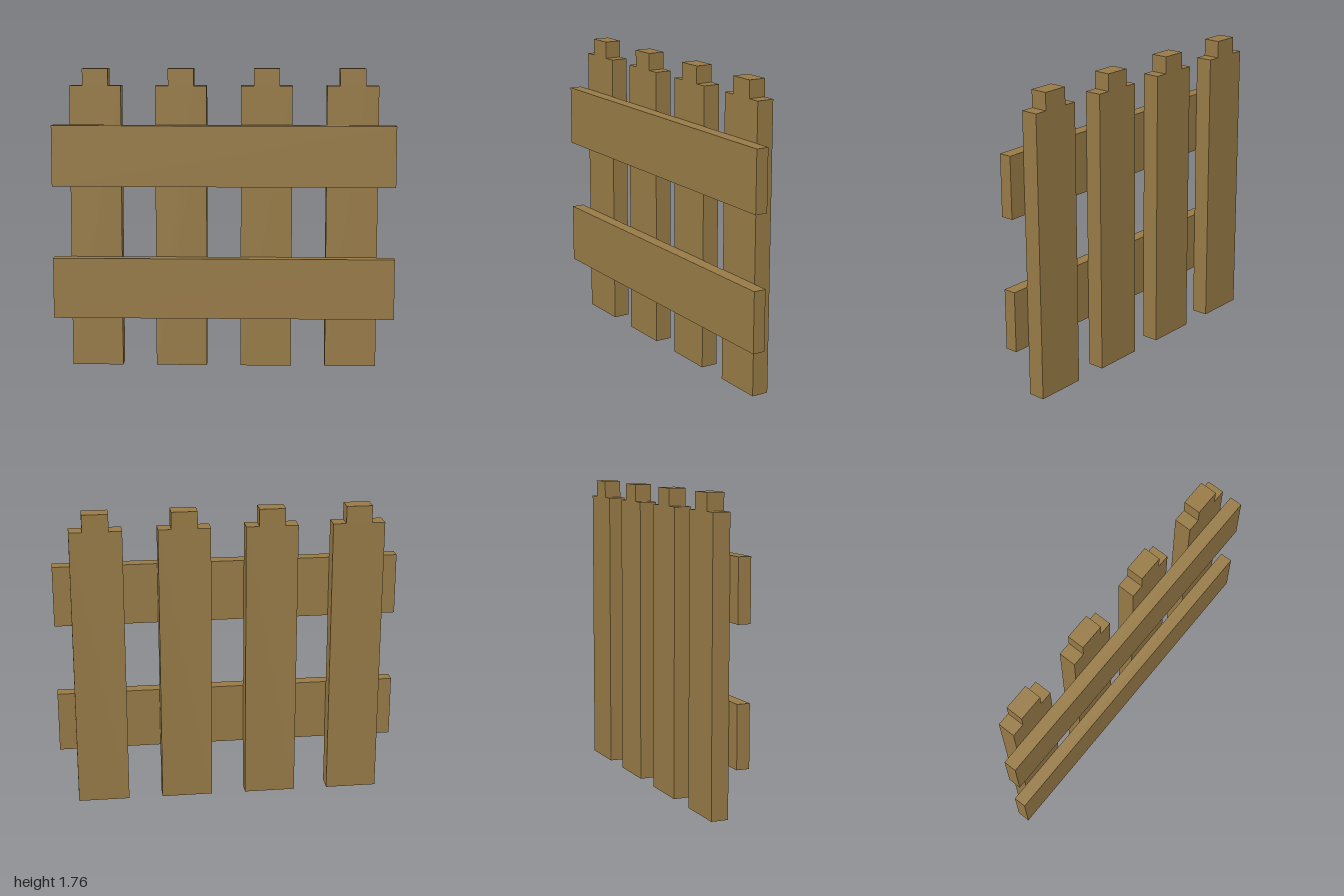
import * as THREE from 'three';

const BACK = -0.087, JOINT = 0.013, FRONT = 0.087;

export function createModel() {
  const fence = new THREE.Group();
  fence.name = 'picketFence';
  const wood = new THREE.MeshStandardMaterial({ color: 0x977a46, flatShading: true });

  // Upright picket: a board whose top steps in to a narrower tip
  const half = 0.15, tip = 0.075, shoulder = 1.66, top = 1.76;
  const outline = new THREE.Shape([
    [-half, 0], [half, 0], [half, shoulder], [tip, shoulder],
    [tip, top], [-tip, top], [-tip, shoulder], [-half, shoulder],
  ].map(([x, y]) => new THREE.Vector2(x, y)));
  const picketGeometry = new THREE.ExtrudeGeometry(outline, { depth: JOINT - BACK, bevelEnabled: false });

  for (let i = 0; i < 4; i++) {
    const picket = new THREE.Mesh(picketGeometry, wood);
    picket.name = `picket${i + 1}`;
    picket.position.set(-0.75 + i * 0.5, 0, BACK);
    fence.add(picket);
  }

  // Horizontal rails fixed to the front of the pickets
  const railGeometry = new THREE.BoxGeometry(2, 0.356, FRONT - JOINT);
  for (const [name, y] of [['lowerRail', 0.476], ['upperRail', 1.255]]) {
    const rail = new THREE.Mesh(railGeometry, wood);
    rail.name = name;
    rail.position.set(0, y, (JOINT + FRONT) / 2);
    fence.add(rail);
  }
  return fence;
}
